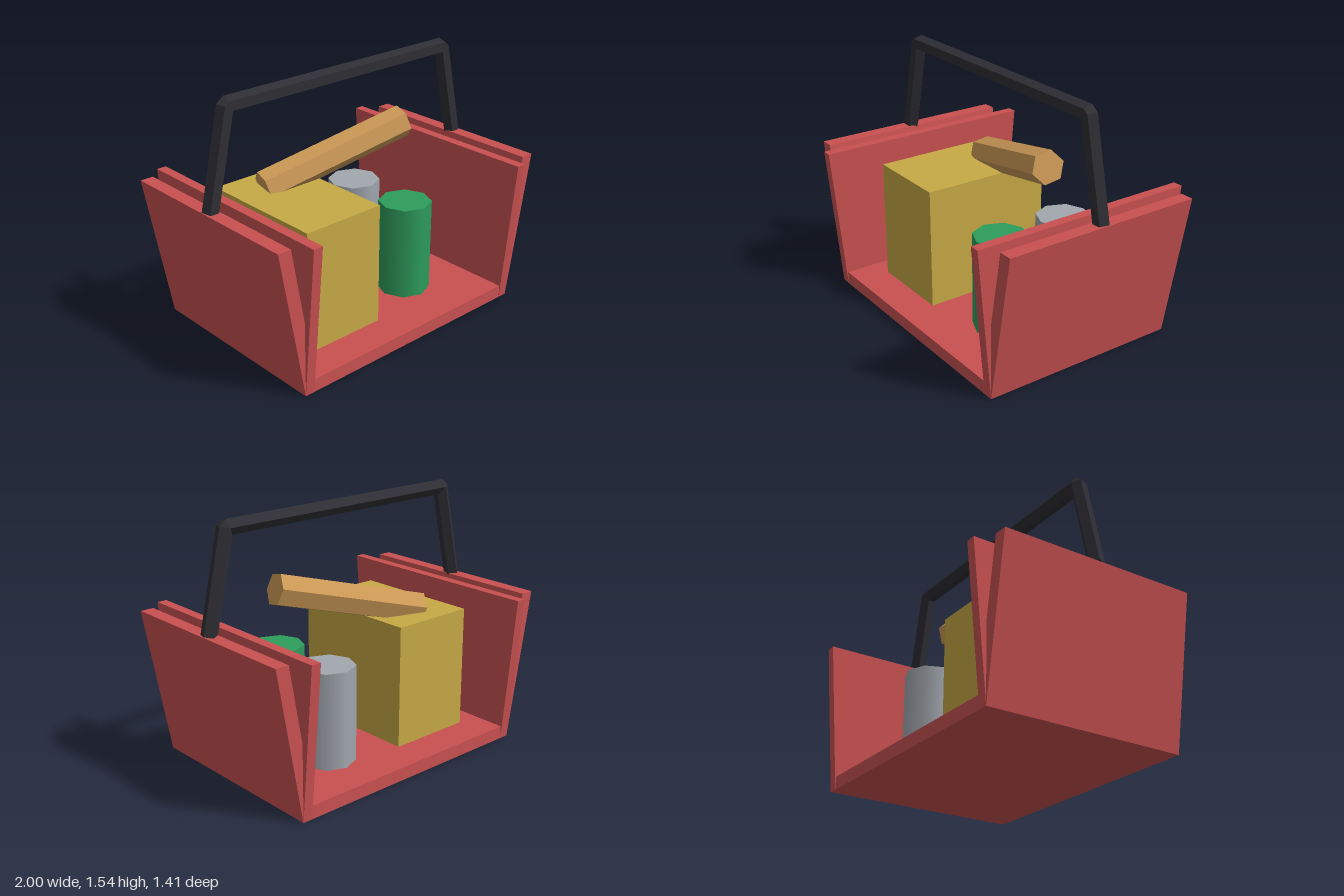
import * as THREE from 'three';

const mat = (name, color) => {
  const m = new THREE.MeshStandardMaterial({ color });
  m.name = name;
  return m;
};

const V = (x, y, z) => new THREE.Vector3(x, y, z);

// Regular n-sided ring around a centre, perpendicular to dir, first corner towards u
function ring(center, dir, u, radius, n, phase = 0) {
  const v = u.clone().cross(dir).normalize();
  return Array.from({ length: n }, (_, i) => {
    const a = phase + (i / n) * Math.PI * 2;
    return center.clone()
      .addScaledVector(u, radius * Math.cos(a))
      .addScaledVector(v, radius * Math.sin(a));
  });
}

// Capped, flat-faced skin through a list of rings
function loft(rings) {
  const pts = [];
  const n = rings[0].length;
  for (let i = 0; i < rings.length - 1; i++) {
    for (let j = 0; j < n; j++) {
      const k = (j + 1) % n;
      const a = rings[i][j], b = rings[i][k], c = rings[i + 1][j], d = rings[i + 1][k];
      pts.push(a, c, b, b, c, d);
    }
  }
  const first = rings[0], last = rings[rings.length - 1];
  for (let j = 1; j < n - 1; j++) {
    pts.push(first[0], first[j], first[j + 1], last[0], last[j + 1], last[j]);
  }
  const g = new THREE.BufferGeometry().setFromPoints(pts);
  g.computeVertexNormals();
  return g;
}

// Straight extrusion of a polygon, centred on its depth
function slab(points, depth) {
  const shape = new THREE.Shape(points.map(([x, y]) => new THREE.Vector2(x, y)));
  return new THREE.ExtrudeGeometry(shape, { depth, bevelEnabled: false }).translate(0, 0, -depth / 2);
}

export function createModel() {
  const model = new THREE.Group();
  model.name = 'shoppingBasket';

  const red = mat('basketRed', 0xc95151);
  const dark = mat('handleCharcoal', 0x2e2e34);
  const gold = mat('boxGold', 0xc6a946);
  const green = mat('canGreen', 0x2e9d5c);
  const grey = mat('canGrey', 0xa2a8af);
  const crust = mat('breadCrust', 0xcb9956);

  const add = (name, geometry, material, x = 0, y = 0, z = 0) => {
    const mesh = new THREE.Mesh(geometry, material);
    mesh.name = name;
    mesh.position.set(x, y, z);
    model.add(mesh);
    return mesh;
  };

  // Basket floor
  add('floor', new THREE.BoxGeometry(1.54, 0.08, 1.25), red, 0, 0.04, 0);

  // Leaning outer walls and upright, flared inner walls on both ends
  for (const s of [1, -1]) {
    const side = s > 0 ? 'left' : 'right';
    const outer = [[0.78, 0], [0.83, 0], [0.995, 0.915], [0.912, 0.915], [0.78, 0.18]];
    add(side + 'OuterWall', slab(outer.map(([x, y]) => [s * x, y]), 1.25), red);

    const inner = slab([[-0.625, 0], [0.625, 0], [0.706, 0.915], [-0.706, 0.915]], 0.06);
    add(side + 'InnerWall', inner.rotateY(Math.PI / 2), red, s * 0.8);
  }

  // Five-sided handle; two rings at each bend make a bevelled corner
  const path = [V(-0.955, 0.912, 0), V(-0.826, 1.495, 0), V(0.826, 1.495, 0), V(0.955, 0.912, 0)];
  const rings = [];
  for (let i = 0; i < 3; i++) {
    const dir = path[i + 1].clone().sub(path[i]).normalize();
    for (const p of [path[i], path[i + 1]]) rings.push(ring(p, dir, V(0, 0, -1), 0.0487, 5));
  }
  add('handle', loft(rings), dark);

  // Groceries
  add('box', new THREE.BoxGeometry(0.54, 0.75, 0.825), gold, -0.355, 0.455, 0);
  add('greenCan', new THREE.CylinderGeometry(0.163, 0.163, 0.585, 8), green, 0.33, 0.3725, 0.207);
  add('greyCan', new THREE.CylinderGeometry(0.163, 0.163, 0.585, 8), grey, 0.33, 0.3725, -0.25);

  // Six-sided loaf leaning on the box
  const a = V(-0.425, 0.835, -0.215), b = V(0.498, 1.085, 0.003);
  const dir = b.clone().sub(a).normalize();
  const across = V(-dir.z, 0, dir.x).normalize();
  add('bread', loft([a, b].map((p) => ring(p, dir, across, 0.1, 6, -0.24))), crust);

  return model;
}
